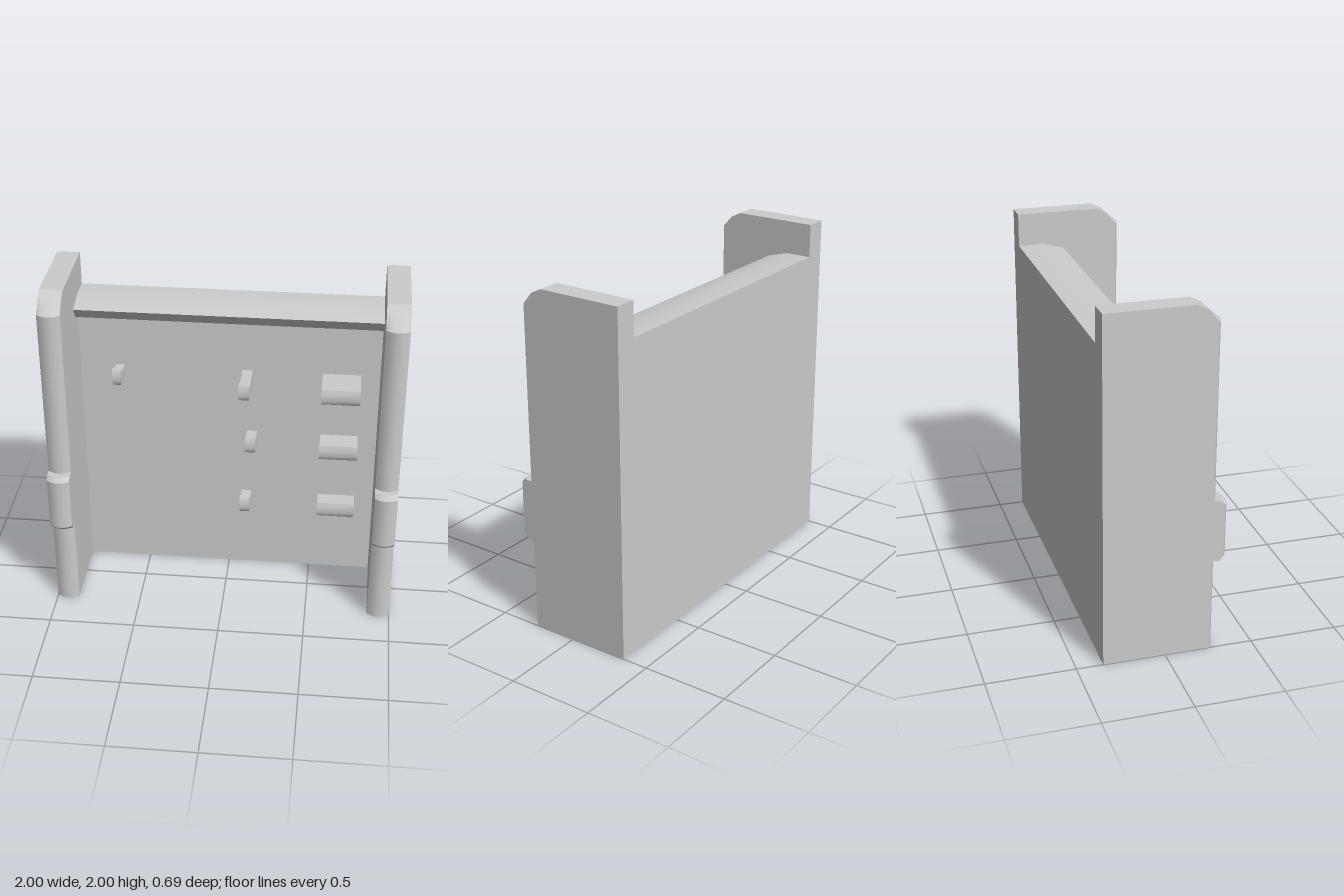
import * as THREE from 'three';
import { toCreasedNormals } from 'three/addons/utils/BufferGeometryUtils.js';

const material = new THREE.MeshStandardMaterial({ color: 0xcccccc });

// Side profile of [z, y] points, extruded along x and centred on x = 0
function extrudeX(points, width, steps = 1) {
  const shape = new THREE.Shape(points.map(([z, y]) => new THREE.Vector2(z, y)));
  const geometry = new THREE.ExtrudeGeometry(shape, { depth: width, steps, bevelEnabled: false });
  return geometry.translate(0, 0, -width / 2).rotateY(-Math.PI / 2);
}

function addMesh(parent, name, geometry, x = 0, y = 0) {
  const mesh = new THREE.Mesh(toCreasedNormals(geometry, 0.4), material);
  mesh.name = name;
  mesh.position.set(x, y, 0);
  parent.add(mesh);
}

// Side wall with a chamfered top corner, a grip bump and a bowed front edge
function wallGeometry(width) {
  const geometry = extrudeX([
    [-0.35, 0], [0.28, 0], [0.28, 0.54], [0.32, 0.54], [0.345, 0.565],
    [0.345, 0.875], [0.32, 0.9], [0.28, 0.9], [0.28, 1.9],
    [0.2, 1.97], [0.14, 2], [-0.35, 2],
  ], width, 8);
  const p = geometry.attributes.position;
  for (let i = 0; i < p.count; i++) {
    const t = p.getX(i) / (width / 2);
    if (p.getZ(i) > 0.25) p.setZ(i, p.getZ(i) - 0.025 * t * t);
  }
  geometry.computeVertexNormals();
  return geometry;
}

// Arm reaching out of the panel, with an upturned lip and a rounded lower front
function hookGeometry(width, tip) {
  return extrudeX([
    [-0.21, 0], [tip - 0.03, 0], [tip - 0.012, 0.007], [tip - 0.003, 0.022],
    [tip, 0.04], [tip, 0.07], [tip - 0.01, 0.1], [tip - 0.045, 0.1],
    [tip - 0.045, 0.065], [-0.21, 0.065],
  ], width);
}

export function createModel() {
  const model = new THREE.Group();
  model.name = 'wallRack';

  // Back panel with the overhanging top ledge
  addMesh(model, 'backPanel', extrudeX([
    [-0.35, 0], [-0.2, 0], [-0.2, 1.705], [-0.12, 1.705],
    [-0.075, 1.772], [-0.2, 1.805], [-0.35, 1.805],
  ], 1.74));

  for (const [name, side] of [['leftWall', 1], ['rightWall', -1]]) {
    addMesh(model, name, wallGeometry(0.13), side * 0.935);
  }

  // Hooks: centre x, bottom y, width, z of the tip
  const hooks = [
    [-0.637, 1.305, 0.05, -0.045], [0.105, 1.305, 0.06, 0.06], [0.65, 1.305, 0.22, 0.06],
    [0.135, 0.895, 0.06, -0.04], [0.65, 0.895, 0.22, -0.01],
    [0.105, 0.47, 0.06, -0.045], [0.65, 0.47, 0.22, -0.045],
  ];
  for (const [x, y, width, tip] of hooks) {
    addMesh(model, 'hook', hookGeometry(width, tip), x, y);
  }
  return model;
}
